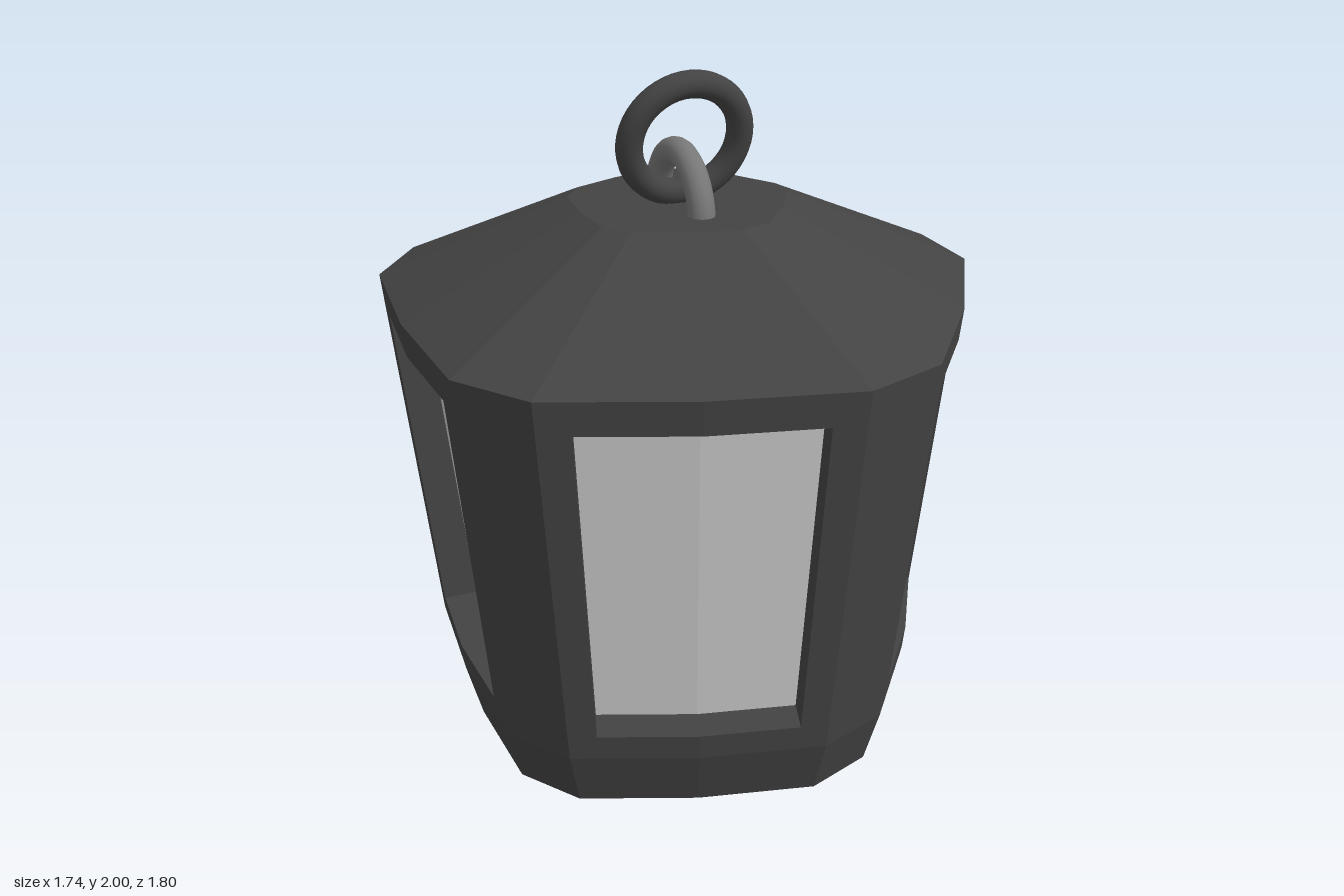
import * as THREE from 'three';

const SIDES = 5, STEP = Math.PI * 2 / SIDES;
const POST_R = 0.912, MID_R = 0.836, POST_HALF = 0.143; // plan at the eaves
const JAMB = 0.22, RECESS = 0.105;
const Y = { bevel: 0.18, sill: 0.26, head: 1.25, eaves: 1.35, top: 1.61 };

// Plan scale at a height on the tapering wall
const wallScale = y => 0.867 + (1 - 0.867) * (y - Y.bevel) / (Y.eaves - Y.bevel);
const point = (r, a, s, y) => new THREE.Vector3(r * s * Math.cos(a), y, r * s * Math.sin(a));

// Outline of one panel (post corner, middle, next post corner) at a height
function panel(i, y, s = wallScale(y)) {
  const a = i * STEP;
  return [
    point(POST_R, a + POST_HALF, s, y),
    point(MID_R, a + STEP / 2, s, y),
    point(POST_R, a + STEP - POST_HALF, s, y),
    point(POST_R, a + STEP + POST_HALF, s, y),
  ];
}

// Window edge (jamb, middle, jamb), optionally pushed inward
function opening(i, y, depth = 0) {
  const [a, m, b] = panel(i, y);
  const inward = point(-depth, (i + 0.5) * STEP, 1, 0);
  return [a.clone().lerp(m, JAMB), m, b.clone().lerp(m, JAMB)].map(p => p.clone().add(inward));
}

// Collects flat faces into one mesh
class Faces {
  constructor() { this.points = []; }
  tri(a, b, c) { this.points.push(a, b, c); }
  quad(a, b, c, d) { this.tri(a, b, c); this.tri(a, c, d); }
  band(low, high) {
    for (let k = 0; k < low.length - 1; k++) this.quad(low[k], high[k], high[k + 1], low[k + 1]);
  }
  mesh(name, material) {
    const geometry = new THREE.BufferGeometry().setFromPoints(this.points);
    geometry.computeVertexNormals();
    const mesh = new THREE.Mesh(geometry, material);
    mesh.name = name;
    return mesh;
  }
}

export function createModel() {
  const iron = new THREE.MeshStandardMaterial({ color: 0x434343 });
  const steel = new THREE.MeshStandardMaterial({ color: 0x777777 });
  const pane = new THREE.MeshStandardMaterial({ color: 0xcccccc });
  const base = new Faces(), frame = new Faces(), roof = new Faces(), glass = new Faces();

  for (let i = 0; i < SIDES; i++) {
    // Base with bevelled foot and closed underside
    const foot = panel(i, 0, 0.812), bevel = panel(i, Y.bevel), sill = panel(i, Y.sill);
    base.band(foot, bevel);
    base.band(bevel, sill);
    const under = new THREE.Vector3(0, 0, 0);
    for (let k = 0; k < 3; k++) base.tri(under, foot[k], foot[k + 1]);

    // Posts and top rail
    const head = panel(i, Y.head), eaves = panel(i, Y.eaves);
    const lo = opening(i, Y.sill), hi = opening(i, Y.head);
    frame.band([sill[0], lo[0]], [head[0], hi[0]]);
    frame.band([lo[2], sill[2], sill[3]], [hi[2], head[2], head[3]]);
    frame.band(head, eaves);

    // Window reveals: jambs, sill and head
    const loIn = opening(i, Y.sill, RECESS), hiIn = opening(i, Y.head, RECESS);
    frame.quad(lo[0], hi[0], hiIn[0], loIn[0]);
    frame.quad(lo[2], loIn[2], hiIn[2], hi[2]);
    frame.band(lo, loIn);
    frame.band(hiIn, hi);

    // Glass pane
    glass.band(loIn, hiIn);

    // Sloping roof with a flat top
    const crown = panel(i, Y.top, 0.362);
    roof.band(eaves, crown);
    const peak = new THREE.Vector3(0, Y.top, 0);
    for (let k = 0; k < 3; k++) roof.tri(peak, crown[k + 1], crown[k]);
  }

  // Fixed loop on the roof
  const loop = new THREE.Mesh(new THREE.TorusGeometry(0.166, 0.039, 16, 32, Math.PI), steel);
  loop.name = 'roofLoop';
  loop.rotation.y = Math.PI / 2;
  loop.position.y = 1.587;

  // Tilted hanging ring
  const ring = new THREE.Mesh(new THREE.TorusGeometry(0.168, 0.039, 16, 48), iron);
  ring.name = 'hangingRing';
  ring.rotation.x = 0.24;
  ring.position.set(0, 1.8, 0.042);

  const model = new THREE.Group();
  model.name = 'lantern';
  model.add(base.mesh('base', iron), frame.mesh('windowFrame', iron), roof.mesh('roof', iron),
    glass.mesh('windowGlass', pane), loop, ring);
  model.position.x = -0.036;
  const root = new THREE.Group();
  root.add(model);
  return root;
}
